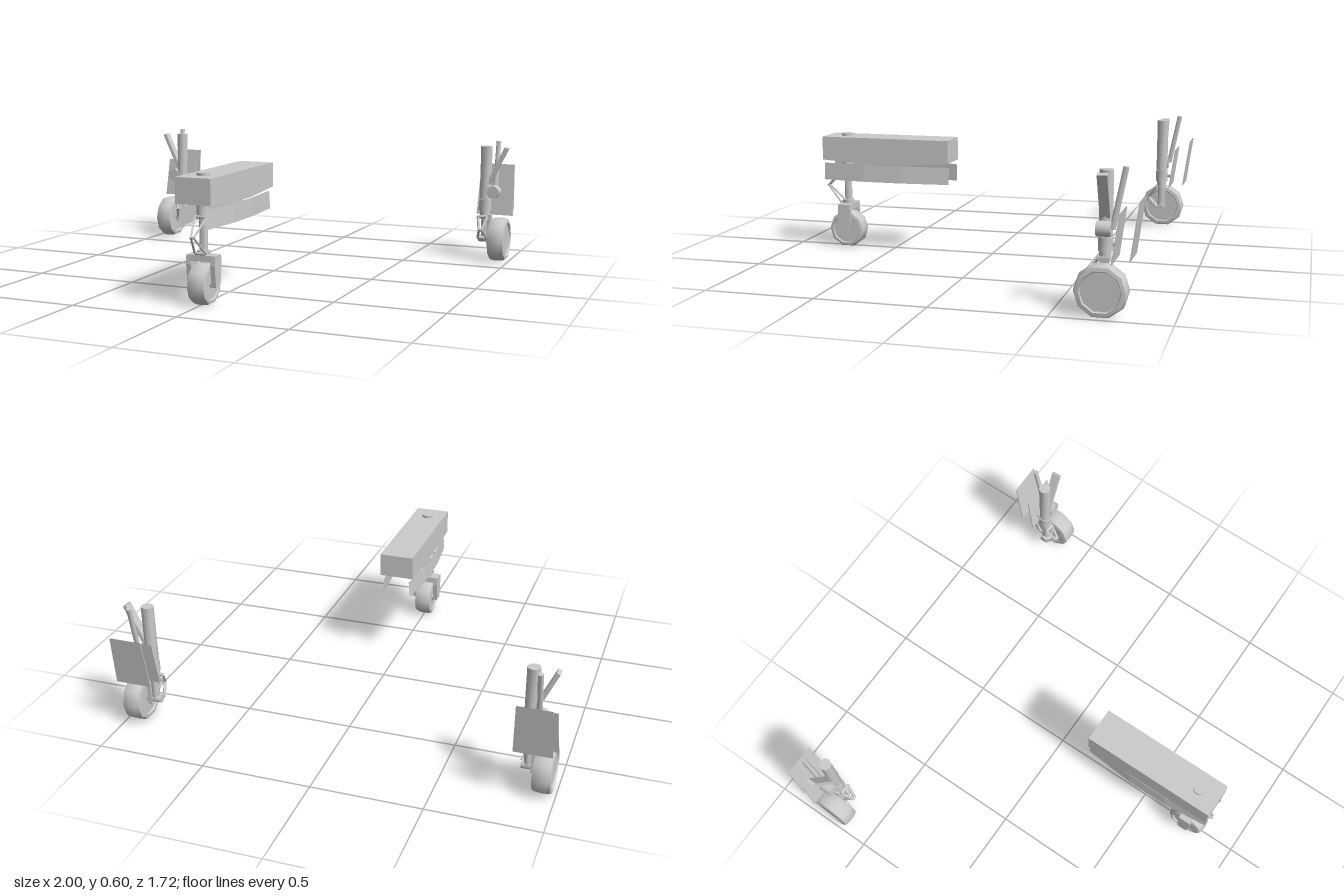
import * as THREE from 'three';
import { toCreasedNormals } from 'three/addons/utils/BufferGeometryUtils.js';

const grey = new THREE.MeshStandardMaterial({ color: 0xcccccc });
const sheet = new THREE.MeshStandardMaterial({ color: 0xcccccc, side: THREE.DoubleSide });
const V = (x, y, z) => new THREE.Vector3(x, y, z);

function add(parent, name, geometry, material = grey) {
  const mesh = new THREE.Mesh(geometry, material);
  mesh.name = name;
  parent.add(mesh);
  return mesh;
}

// Cylinder between two points
function rod(parent, name, a, b, r0, r1 = r0, sides = 10) {
  const d = b.clone().sub(a);
  const geo = toCreasedNormals(new THREE.CylinderGeometry(r1, r0, d.length(), sides), 0.8);
  const mesh = add(parent, name, geo);
  mesh.position.copy(a).add(b).multiplyScalar(0.5);
  mesh.quaternion.setFromUnitVectors(V(0, 1, 0), d.normalize());
  return mesh;
}

function box(parent, name, w, h, d, x, y, z) {
  const mesh = add(parent, name, new THREE.BoxGeometry(w, h, d));
  mesh.position.set(x, y, z);
  return mesh;
}

// Flat-faced sheet joining successive open cross-sections
function loft(sections) {
  const pos = [];
  for (let i = 0; i < sections.length - 1; i++) {
    for (let j = 0; j < sections[i].length - 1; j++) {
      const a = sections[i][j], b = sections[i][j + 1];
      const c = sections[i + 1][j + 1], d = sections[i + 1][j];
      pos.push(...a, ...b, ...c, ...a, ...c, ...d);
    }
  }
  const geo = new THREE.BufferGeometry();
  geo.setAttribute('position', new THREE.Float32BufferAttribute(pos, 3));
  geo.computeVertexNormals();
  return geo;
}

// Ten-sided tyre with recessed hub faces, axle along x
function wheel(parent, name, r, half, x, y, z) {
  const side = [[0, 0.8], [0.74, 0.8], [0.78, 1], [0.92, 0.94], [0.98, 0.6]];
  const profile = [
    ...side.map(([a, b]) => [a, -b]), [1, 0], ...side.slice().reverse(),
  ].map(([a, b]) => new THREE.Vector2(a * r, b * half));
  const geo = new THREE.LatheGeometry(profile, 10);
  geo.rotateX(Math.PI / 2);
  geo.rotateY(Math.PI / 2);
  geo.rotateX(Math.PI / 2);
  const mesh = add(parent, name, toCreasedNormals(geo, 0.75));
  mesh.position.set(x, y, z);
}

// Hinged scissor: two V-shaped arms meeting at an apex
function torqueLink(parent, x, top, apex, bottom, half, r) {
  for (const s of [-1, 1]) {
    const tip = V(x + s * half * 0.25, ...apex);
    rod(parent, 'torqueLinkUpper', V(x + s * half, ...top), tip, r, r, 6);
    rod(parent, 'torqueLinkLower', V(x + s * half, ...bottom), tip, r, r, 6);
  }
  for (const [p, w] of [[top, half], [apex, half * 0.4], [bottom, half]]) {
    rod(parent, 'torqueLinkPin', V(x - w, ...p), V(x + w, ...p), r * 1.3, r * 1.3, 8);
  }
}

function noseGear() {
  const g = new THREE.Group();
  g.name = 'noseGear';
  const z = 0.747;

  // Wheel bay, open underneath with a sagging lower edge
  const w = 0.083, top = 0.56;
  const edge = [[0.845, 0.446], [0.63, 0.433], [0.44, 0.431], [0.2, 0.449]];
  add(g, 'wheelBay', loft(edge.map(([zz, y]) =>
    [[-w, y, zz], [-w, top, zz], [w, top, zz], [w, y, zz]])), sheet);
  for (const [zz, y] of [edge[0], edge[3]]) {
    add(g, 'bayEndWall', loft([
      [[-w, y, zz], [w, y, zz]], [[-w, top, zz], [w, top, zz]],
    ]), sheet);
  }

  // Bowed bay doors
  for (const s of [-1, 1]) {
    const plan = [[0.845, 0.062], [0.63, 0.084], [0.44, 0.084], [0.2, 0.064]];
    add(g, 'bayDoor', loft(plan.map(([zz, x]) =>
      [[s * x, 0.428, zz], [s * (x + 0.005), 0.345, zz]])), sheet);
  }

  // Strut
  rod(g, 'strutHousing', V(0, 0.385, z), V(0, 0.572, z), 0.028, 0.028, 12);
  rod(g, 'strutPiston', V(0, 0.2, z), V(0, 0.39, z), 0.018, 0.018, 12);
  rod(g, 'strutCollar', V(0, 0.215, z), V(0, 0.238, z), 0.029, 0.029, 12);
  torqueLink(g, 0, [0.385, z + 0.025], [0.308, 0.85], [0.228, z + 0.03], 0.027, 0.005);

  // Fork: a crown with two tapered legs
  box(g, 'forkCrown', 0.136, 0.028, 0.06, 0, 0.207, z);
  const leg = new THREE.Shape([
    [-0.03, 0.22], [-0.033, 0.18], [-0.022, 0.092], [0.022, 0.092], [0.033, 0.18], [0.03, 0.22],
  ].map(([a, b]) => new THREE.Vector2(a, b)));
  for (const s of [-1, 1]) {
    const geo = new THREE.ExtrudeGeometry(leg, { depth: 0.022, bevelEnabled: false });
    geo.rotateY(Math.PI / 2);
    geo.translate(s * 0.057 - 0.011, 0, z);
    add(g, 'forkLeg', geo);
  }
  rod(g, 'noseAxle', V(-0.06, 0.093, z), V(0.06, 0.093, z), 0.014);
  wheel(g, 'noseWheel', 0.093, 0.041, 0, 0.093, z);
  return g;
}

function mainGear(s) {
  const g = new THREE.Group();
  g.name = s > 0 ? 'leftMainGear' : 'rightMainGear';
  const z = -0.706, x = s * 0.868;

  // Strut
  rod(g, 'strutHousing', V(x, 0.315, z), V(x, 0.583, z), 0.029, 0.029, 8);
  rod(g, 'strutNeck', V(x, 0.22, z), V(x, 0.32, z), 0.025, 0.025, 12);
  rod(g, 'strutCollar', V(x, 0.255, z), V(x, 0.312, z), 0.031, 0.031, 12);
  rod(g, 'strutPiston', V(x, 0.11, z), V(x, 0.23, z), 0.018, 0.018, 10);
  rod(g, 'bracePivot', V(s * 0.91, 0.352, z - 0.03), V(s * 0.91, 0.352, z + 0.03), 0.032, 0.032, 12);

  // Side brace (flat bar) and aft drag brace (round)
  const a = V(s * 0.885, 0.395, z), b = V(s * 0.97, 0.578, z);
  const brace = box(g, 'sideBrace', 0.018, a.distanceTo(b), 0.042, 0, 0, 0);
  brace.position.copy(a).add(b).multiplyScalar(0.5);
  brace.rotation.z = -Math.atan2(b.x - a.x, b.y - a.y);
  rod(g, 'dragBrace', V(s * 0.91, 0.352, -0.74), V(s * 0.91, 0.602, -0.79), 0.012);

  // Axle carrier, axle and scissor link
  box(g, 'axleCarrier', 0.02, 0.15, 0.04, s * 0.892, 0.16, z);
  rod(g, 'mainAxle', V(s * 0.84, 0.112, z), V(s * 0.95, 0.112, z), 0.019);
  torqueLink(g, s * 0.862, [0.225, z + 0.025], [0.165, z + 0.07], [0.115, z + 0.02], 0.024, 0.007);
  wheel(g, 'mainWheel', 0.112, 0.042, s * 0.943, 0.112, z);

  // Two thin slanted doors, wider at the bottom: [y, z, inner x, outer x]
  const doors = [
    [[0.478, -0.856, 0.831, 0.981], [0.244, -0.823, 0.822, 0.989]],
    [[0.428, -0.78, 0.823, 0.99], [0.228, -0.752, 0.814, 1]],
  ];
  doors.forEach((rows, i) => {
    const ring = ([y, zz, x0, x1]) => {
      const t = 0.0025;
      return [[x0, y, zz - t], [x1, y, zz - t], [x1, y, zz + t], [x0, y, zz + t], [x0, y, zz - t]]
        .map(([px, py, pz]) => [s * px, py, pz]);
    };
    add(g, i ? 'strutDoor' : 'aftDoor', loft(rows.map(ring)), sheet);
  });
  // Bracket holding the door to the strut
  rod(g, 'doorBracket', V(x, 0.285, z - 0.02), V(x, 0.285, -0.758), 0.009, 0.009, 6);
  return g;
}

export function createModel() {
  const model = new THREE.Group();
  model.name = 'landingGear';
  model.add(noseGear(), mainGear(1), mainGear(-1));
  return model;
}
